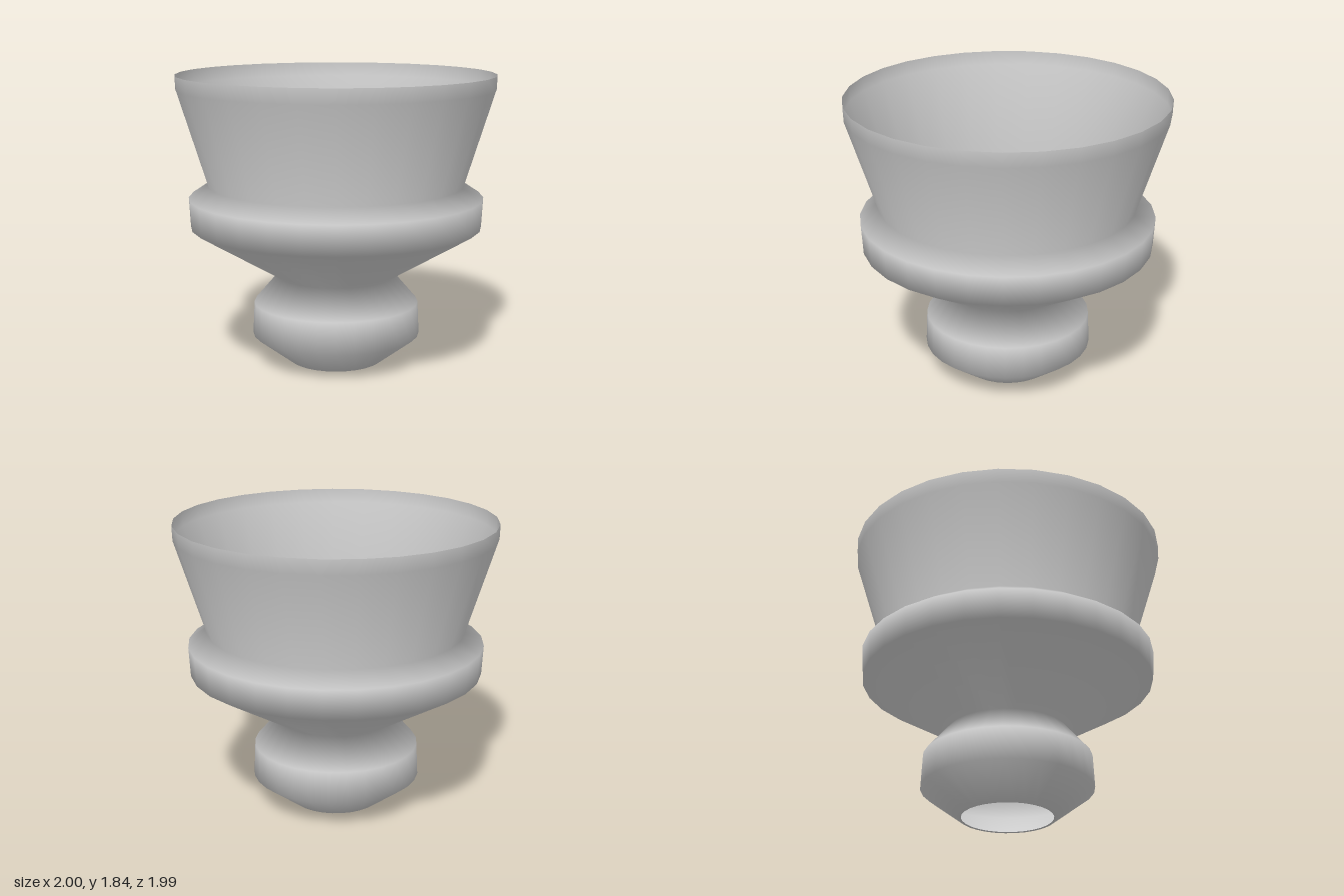
import * as THREE from 'three';

export function createModel() {
  const model = new THREE.Group();
  const material = new THREE.MeshStandardMaterial({ color: 0xcccccc, side: THREE.DoubleSide });

  // Thin shell turned around y, open at both ends: [radius, height] from bottom to top
  const profile = [
    [0.283, 0.003], [0.297, 0],   // lip of the bottom opening
    [0.535, 0.18], [0.525, 0.385], // bulb
    [0.375, 0.56],                // neck
    [0.92, 0.885], [0.93, 1.07],  // flared collar
    [0.81, 1.15],                 // waist under the cup
    [0.997, 1.75], [1, 1.84],     // cup wall and rim
  ].map(([r, y]) => new THREE.Vector2(r, y));

  const shell = new THREE.Mesh(new THREE.LatheGeometry(profile, 29), material);
  shell.name = 'turnedShell';
  model.add(shell);
  return model;
}
